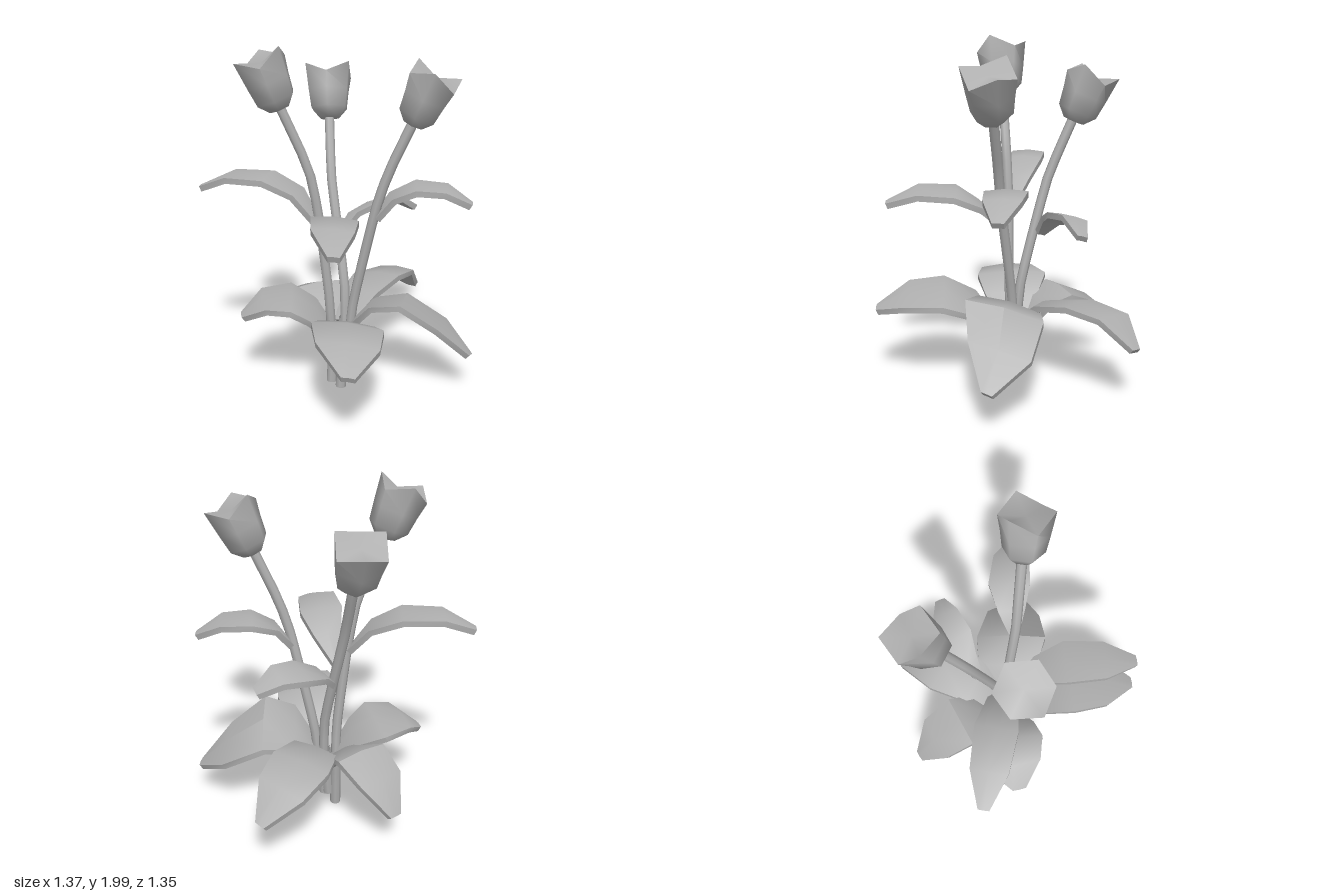
import * as THREE from 'three';
import { toCreasedNormals } from 'three/addons/utils/BufferGeometryUtils.js';

const V = (p) => new THREE.Vector3(...p);

export function createModel() {
  const group = new THREE.Group();
  const grey = new THREE.MeshStandardMaterial({ color: 0xb0b0b0, side: THREE.DoubleSide });
  grey.name = 'plain grey';

  const add = (name, geometry) => {
    const mesh = new THREE.Mesh(geometry, grey);
    mesh.name = name;
    group.add(mesh);
    return mesh;
  };

  // Round stalk through a few points
  const stalk = (name, points, radius, steps) => {
    const curve = new THREE.CatmullRomCurve3(points.map(V), false, 'catmullrom', 0.25);
    add(name, new THREE.TubeGeometry(curve, steps, radius, 8));
  };

  // Six-sided closed bud with a zigzag rim; spin is the azimuth of one tip from +x toward +z
  const flower = (base, axis, spin) => {
    const profile = [[0, 0], [0.06, 0.003], [0.113, 0.06], [0.127, 0.16], [0.145, 0.28], [0, 0.26]];
    const geo = new THREE.LatheGeometry(profile.map((p) => new THREE.Vector2(...p)), 6, Math.PI / 2 - spin);
    const pos = geo.attributes.position;
    const n = profile.length;
    for (let i = 0; i <= 6; i++) {
      const rim = i * n + n - 2;
      pos.setY(rim, pos.getY(rim) + (i % 2 ? -0.03 : 0.035));
    }
    const mesh = add('flower', toCreasedNormals(geo, 1.15));
    mesh.quaternion.setFromUnitVectors(new THREE.Vector3(0, 1, 0), V(axis).normalize());
    mesh.position.set(...base);
  };

  // Thick arched leaf: a box bent along spine points [x, y, z, halfWidth]; roll lifts one edge
  const leaf = (name, spine, roll = 0, thick = 0.034) => {
    const last = spine.length - 1;
    const geo = new THREE.BoxGeometry(2, 1, last, 2, 1, last);
    const pos = geo.attributes.position;
    const frames = spine.map((s, i) => {
      const a = V(spine[Math.max(i - 1, 0)].slice(0, 3));
      const tangent = V(spine[Math.min(i + 1, last)].slice(0, 3)).sub(a).normalize();
      const side = new THREE.Vector3(tangent.z, 0, -tangent.x).normalize();
      return { side, up: tangent.clone().cross(side) };
    });
    for (let i = 0; i < pos.count; i++) {
      const k = Math.round(pos.getZ(i) + last / 2);
      const u = pos.getX(i);
      const w = spine[k][3];
      const p = V(spine[k].slice(0, 3))
        .addScaledVector(frames[k].side, u * w)
        .addScaledVector(frames[k].up, (pos.getY(i) - 0.5) * thick + (1 - u * u) * w * 0.1);
      p.y += roll * u * (w / 0.2);
      pos.setXYZ(i, p.x, p.y, p.z);
    }
    add(name, toCreasedNormals(geo, 0.75));
  };

  // Flower stems
  stalk('stem', [[-0.12, 0.01, -0.08], [-0.14, 0.5, -0.06], [-0.19, 1.05, -0.09], [-0.24, 1.33, -0.11], [-0.375, 1.68, -0.17]], 0.028, 12);
  stalk('stem', [[-0.05, 0.12, -0.03], [-0.02, 0.52, 0], [0.05, 1.1, 0.12], [0.1, 1.32, 0.17], [0.195, 1.61, 0.26]], 0.028, 12);
  stalk('stem', [[-0.06, 0.1, -0.04], [-0.035, 0.6, -0.07], [-0.015, 1.2, -0.24], [0.05, 1.55, -0.37]], 0.028, 12);

  // Blooms
  flower([-0.37, 1.66, -0.17], [-0.11, 0.33, -0.06], Math.PI);
  flower([0.19, 1.59, 0.26], [0.09, 0.28, 0.085], 0.26);
  flower([0.05, 1.53, -0.37], [0.06, 0.3, -0.11], Math.PI + 0.1);

  // Upper leaves
  leaf('upperLeaf', [[-0.19, 1.02, -0.09, 0.03], [-0.26, 1.18, -0.19, 0.085], [-0.38, 1.26, -0.32, 0.115], [-0.54, 1.26, -0.48, 0.1], [-0.67, 1.18, -0.61, 0.03]]);
  leaf('upperLeaf', [[-0.16, 0.92, -0.05, 0.03], [-0.2, 1.06, 0.09, 0.085], [-0.27, 1.14, 0.22, 0.125], [-0.39, 1.15, 0.4, 0.11], [-0.48, 1.08, 0.56, 0.03]], -0.02);
  leaf('upperLeaf', [[0.05, 1.06, 0.11, 0.03], [0.13, 1.18, 0.15, 0.075], [0.25, 1.24, 0.22, 0.115], [0.38, 1.23, 0.33, 0.1], [0.485, 1.15, 0.425, 0.03]]);
  leaf('upperLeaf', [[0, 0.91, -0.17, 0.025], [0.09, 1, -0.18, 0.055], [0.22, 1.05, -0.16, 0.085], [0.37, 1.07, -0.14, 0.075], [0.49, 1, -0.1, 0.028]], -0.06);

  // Lower leaves: spine, roll and where the stalk meets the ground
  const lower = [
    [[[-0.1, 0.33, 0.03, 0.06], [-0.16, 0.48, 0.15, 0.16], [-0.255, 0.56, 0.32, 0.195], [-0.365, 0.55, 0.5, 0.165], [-0.46, 0.47, 0.655, 0.035]], -0.03, [-0.12, 0.01, 0.02]],
    [[[-0.12, 0.33, -0.05, 0.06], [-0.21, 0.47, -0.12, 0.16], [-0.32, 0.55, -0.2, 0.21], [-0.47, 0.55, -0.26, 0.16], [-0.59, 0.46, -0.31, 0.04]], 0, [-0.14, 0.02, -0.05]],
    [[[-0.08, 0.32, -0.12, 0.06], [-0.07, 0.46, -0.22, 0.13], [-0.05, 0.51, -0.36, 0.16], [-0.03, 0.43, -0.54, 0.14], [-0.02, 0.26, -0.67, 0.035]], 0, [-0.1, 0.01, -0.1]],
    [[[-0.04, 0.38, -0.07, 0.06], [0.1, 0.5, -0.14, 0.13], [0.3, 0.54, -0.24, 0.165], [0.51, 0.51, -0.32, 0.14], [0.675, 0.37, -0.34, 0.03]], -0.035, [-0.07, 0.08, -0.07]],
    [[[-0.04, 0.37, -0.02, 0.06], [0.07, 0.53, 0.08, 0.18], [0.2, 0.56, 0.2, 0.215], [0.37, 0.42, 0.345, 0.17], [0.47, 0.26, 0.49, 0.03]], -0.05, [-0.05, 0.18, -0.02]],
  ];
  for (const [spine, roll, foot] of lower) {
    leaf('lowerLeaf', spine, roll);
    const [x, y, z] = spine[0];
    stalk('leafStalk', [foot, [(x + foot[0]) / 2, y * 0.6, (z + foot[2]) / 2], [x, y + 0.02, z]], 0.031, 4);
  }
  return group;
}
